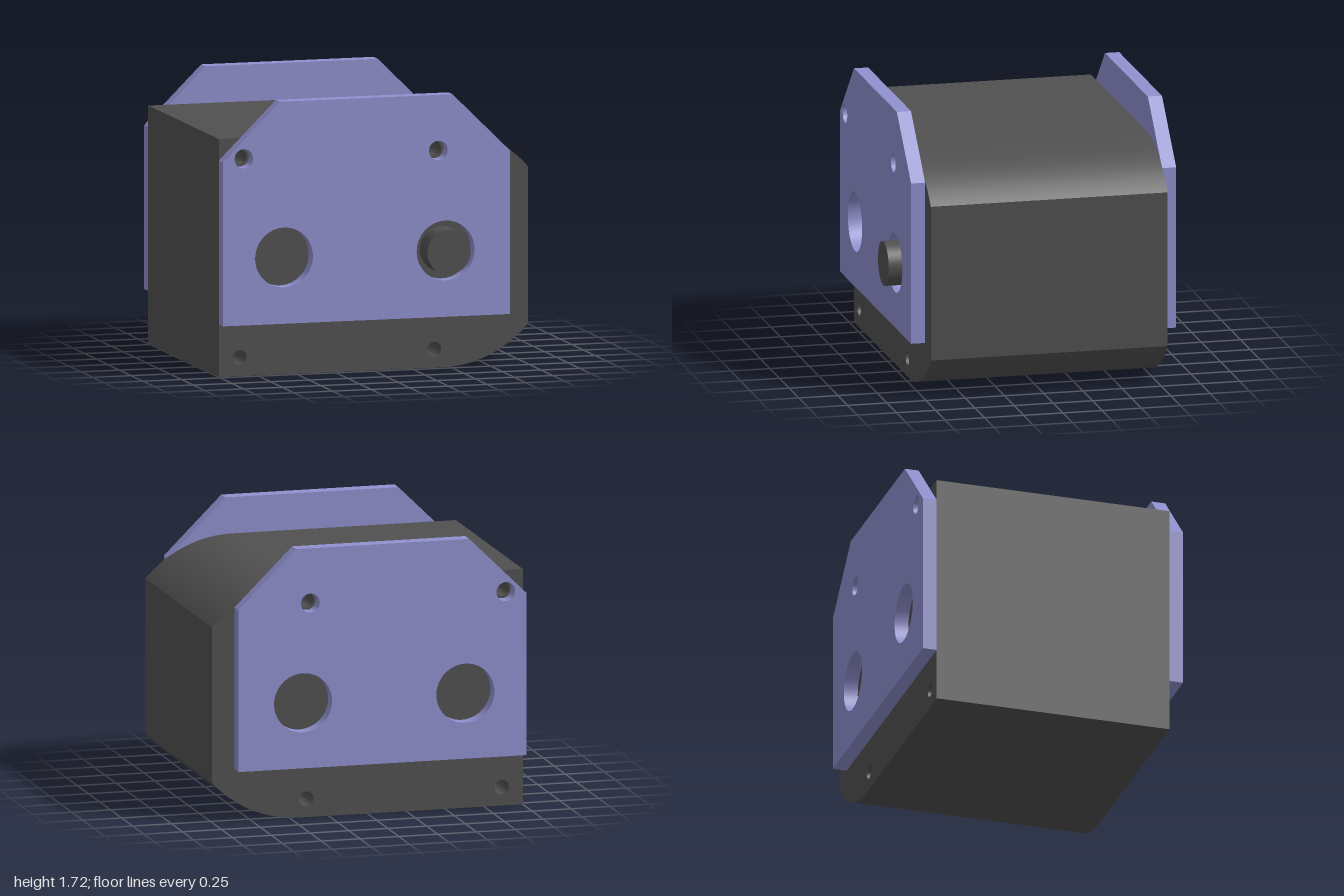
import * as THREE from 'three';
import { toCreasedNormals } from 'three/addons/utils/BufferGeometryUtils.js';

const AXIS_Y = 0.745;   // height of the shaft and large openings
const SHAFT_X = 0.44;
const BACK_Z = -0.79, FRONT_Z = 0.72, PLATE = 0.09;

const addHole = (shape, x, y, r) => {
  const hole = new THREE.Path();
  hole.absarc(x, y, r, 0, Math.PI * 2, true);
  shape.holes.push(hole);
};

const extrude = (shape, z, depth) => {
  const geometry = new THREE.ExtrudeGeometry(shape, { depth, bevelEnabled: false, curveSegments: 24 });
  geometry.translate(0, 0, z);
  return toCreasedNormals(geometry, 0.35);
};

export function createModel() {
  const group = new THREE.Group();
  const housingGrey = new THREE.MeshStandardMaterial({ color: 0x505050 });
  housingGrey.name = 'housing grey';
  const plateLavender = new THREE.MeshStandardMaterial({ color: 0x9090d0 });
  plateLavender.name = 'plate lavender';

  const add = (name, geometry, material) => {
    const mesh = new THREE.Mesh(geometry, material);
    mesh.name = name;
    group.add(mesh);
    return mesh;
  };

  // Housing: block with its right corners cut by a circle around the shaft axis
  const bodyShape = new THREE.Shape();
  const angle = Math.acos((1 - SHAFT_X) / AXIS_Y);
  bodyShape.moveTo(-1, 0);
  bodyShape.lineTo(SHAFT_X, 0);
  bodyShape.absarc(SHAFT_X, AXIS_Y, AXIS_Y, -Math.PI / 2, -angle, false);
  bodyShape.absarc(SHAFT_X, AXIS_Y, AXIS_Y, angle, Math.PI / 2, false);
  bodyShape.lineTo(-1, AXIS_Y * 2);
  bodyShape.closePath();
  for (const x of [-0.865, 0.393])
    for (const y of [0.117, 1.373]) addHole(bodyShape, x, y, 0.046);
  add('housing', extrude(bodyShape, BACK_Z, FRONT_Z - BACK_Z), housingGrey);

  // End plates with bolt holes and two large openings
  const plateShape = new THREE.Shape([
    [-1, 0.33], [0.855, 0.33], [0.855, 1.355], [0.485, 1.72], [-0.63, 1.72], [-1, 1.355],
  ].map(([x, y]) => new THREE.Vector2(x, y)));
  for (const x of [-0.865, 0.393]) addHole(plateShape, x, 1.373, 0.06);
  for (const x of [-0.605, SHAFT_X]) addHole(plateShape, x, AXIS_Y, 0.187);
  add('frontPlate', extrude(plateShape, FRONT_Z, PLATE), plateLavender);
  add('backPlate', extrude(plateShape, BACK_Z - PLATE, PLATE), plateLavender);

  // Drive shaft standing out of the front opening
  const shaft = add('shaft', new THREE.CylinderGeometry(0.14, 0.14, 0.165, 48), housingGrey);
  shaft.rotation.x = Math.PI / 2;
  shaft.position.set(SHAFT_X, AXIS_Y, FRONT_Z + 0.0825);

  return group;
}
